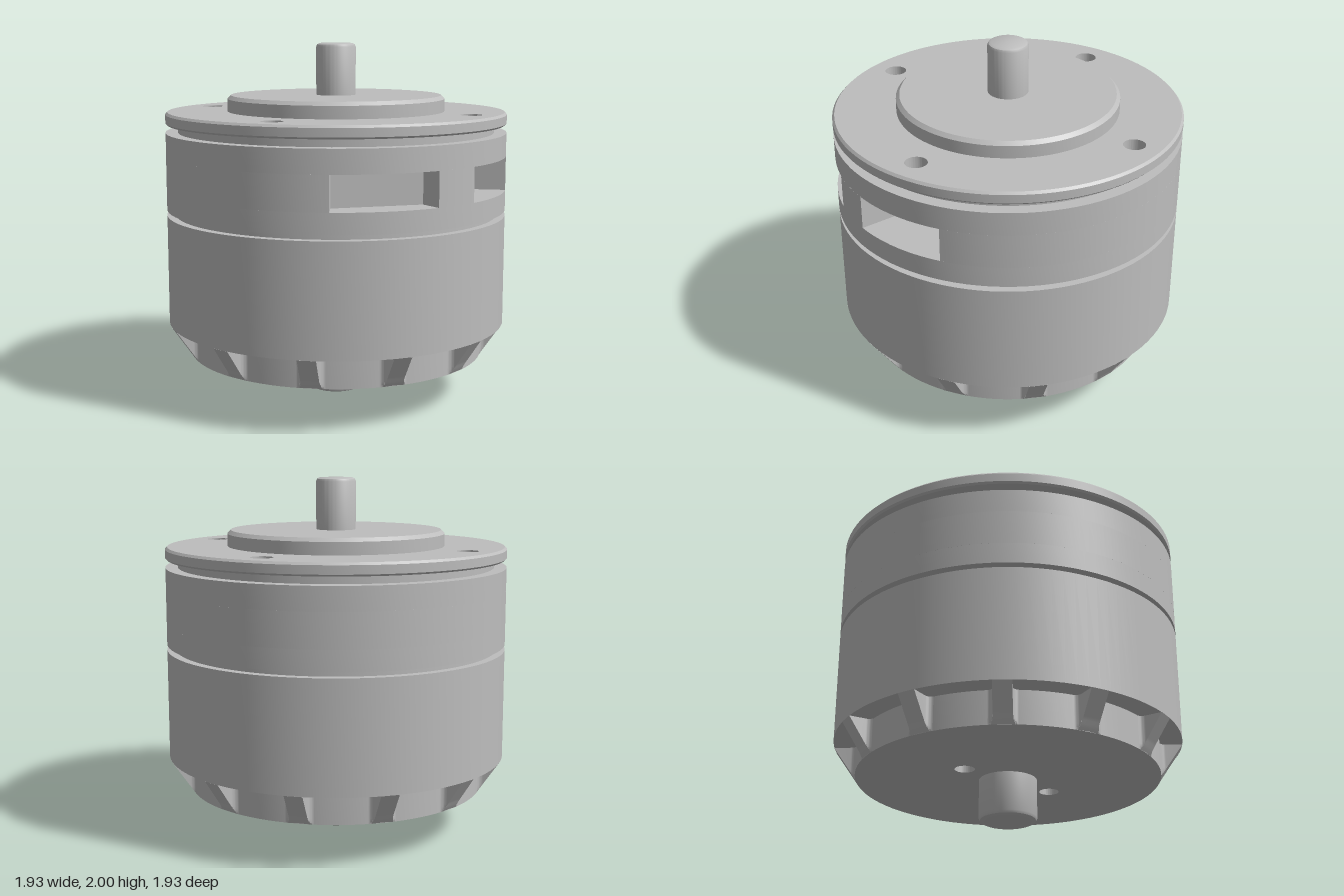
import * as THREE from 'three';
import { toCreasedNormals } from 'three/addons/utils/BufferGeometryUtils.js';

const rad = THREE.MathUtils.degToRad;
const R = 0.965; // housing radius

export function createModel() {
  const model = new THREE.Group();
  model.name = 'motor';
  const metal = new THREE.MeshStandardMaterial({ color: 0xbdbdbd });
  metal.name = 'grey metal';

  const add = (name, geometry, parent = model) => {
    const mesh = new THREE.Mesh(toCreasedNormals(geometry, 0.5), metal);
    mesh.name = name;
    parent.add(mesh);
    return mesh;
  };

  // Turned part from [radius, height] pairs, bottom to top
  const turned = (name, profile) =>
    add(name, new THREE.LatheGeometry(profile.map(([r, y]) => new THREE.Vector2(r, y)), 96));

  // Plan outline (x, -z) raised from y0 to y1
  const slab = (name, shape, y0, y1) => {
    const g = new THREE.ExtrudeGeometry(shape, { depth: y1 - y0, bevelEnabled: false, curveSegments: 48 });
    g.rotateX(-Math.PI / 2);
    g.translate(0, y0, 0);
    return add(name, g);
  };

  const disc = (r, holes = [], holeR = 0) => {
    const s = new THREE.Shape().absarc(0, 0, r, 0, Math.PI * 2, false);
    for (const [x, y] of holes) {
      s.holes.push(new THREE.Path().absarc(x, y, holeR, 0, Math.PI * 2, true));
    }
    return s;
  };
  const polar = (r, deg) => [r * Math.cos(rad(deg)), r * Math.sin(rad(deg))];

  // Shafts with softened ends
  turned('topShaft', [[0.112, 1.7], [0.112, 1.98], [0.106, 1.993], [0.093, 2], [0, 2]]);
  turned('bottomShaft', [[0, 0], [0.14, 0], [0.153, 0.006], [0.16, 0.02], [0.16, 0.24]]);

  // Raised boss and flange rim
  turned('topBoss', [[0.615, 1.62], [0.615, 1.69], [0.595, 1.71], [0, 1.71]]);
  turned('flangeRim', [[0.89, 1.55], [0.955, 1.55], [R, 1.56], [R, 1.607], [0.953, 1.62], [0.895, 1.62]]);

  // Flange core and upper housing with four mounting holes
  const mounts = [0, 90, 180, 270].map((a) => polar(0.805, a));
  slab('flangeCore', disc(0.895, mounts, 0.06), 1.505, 1.62);
  slab('upperHousing', disc(R, mounts, 0.06), 1.375, 1.505);

  // Conical drill tips; the hole on the left opens into the deep slot
  for (const [x, y] of mounts.slice(1)) {
    const tip = new THREE.LatheGeometry([new THREE.Vector2(0.06, 1.42), new THREE.Vector2(0, 1.385)], 32);
    tip.translate(x, 0, -y);
    add('drillTip', tip);
  }

  // Slotted band: one shallow slot, one deep slot
  const band = new THREE.Shape();
  band.absarc(0, 0, R, rad(14.4), rad(292), false);
  band.lineTo(...polar(0.83, -68));
  band.lineTo(...polar(0.83, -33));
  band.absarc(0, 0, R, rad(-33), rad(-17.5), false);
  band.lineTo(...polar(0.42, -17.5));
  band.lineTo(...polar(0.42, 14.4));
  band.closePath();
  slab('slottedBand', band, 1.185, 1.375);
  slab('middleHousing', disc(R), 1.07, 1.185);

  // Groove and rotor bell
  slab('groove', disc(0.918), 1.04, 1.07);
  slab('rotorBell', disc(R), 0.42, 1.04);

  // Base hub with two blind holes
  slab('baseHub', disc(0.84, [polar(0.3, -34), polar(0.3, 146)], 0.055), 0.235, 0.42);

  // Filleted rib plan, clamped to the slanted outer line at each height
  const ribs = new THREE.Group();
  ribs.name = 'ribs';
  model.add(ribs);
  const half = 0.05, f = 0.035, wall = 0.835;
  const rib = new THREE.Shape();
  rib.moveTo(-half - f, 0.81);
  rib.lineTo(half + f, 0.81);
  rib.lineTo(half + f, wall);
  rib.absarc(half + f, wall + f, f, -Math.PI / 2, -Math.PI, true);
  rib.lineTo(half, R);
  rib.lineTo(-half, R);
  rib.lineTo(-half, wall + f);
  rib.absarc(-half - f, wall + f, f, 0, -Math.PI / 2, true);
  rib.closePath();
  const ribGeo = new THREE.ExtrudeGeometry(rib, { depth: 0.185, steps: 12, bevelEnabled: false, curveSegments: 5 });
  ribGeo.rotateX(-Math.PI / 2);
  const p = ribGeo.attributes.position;
  for (let i = 0; i < p.count; i++) {
    const limit = 0.838 + (R - 0.838) * (p.getY(i) / 0.185);
    p.setZ(i, Math.max(p.getZ(i), -limit));
  }
  ribGeo.translate(0, 0.235, 0);
  for (let i = 0; i < 12; i++) {
    add('rib', ribGeo.clone(), ribs).rotation.y = rad(15 + 30 * i);
  }

  return model;
}
